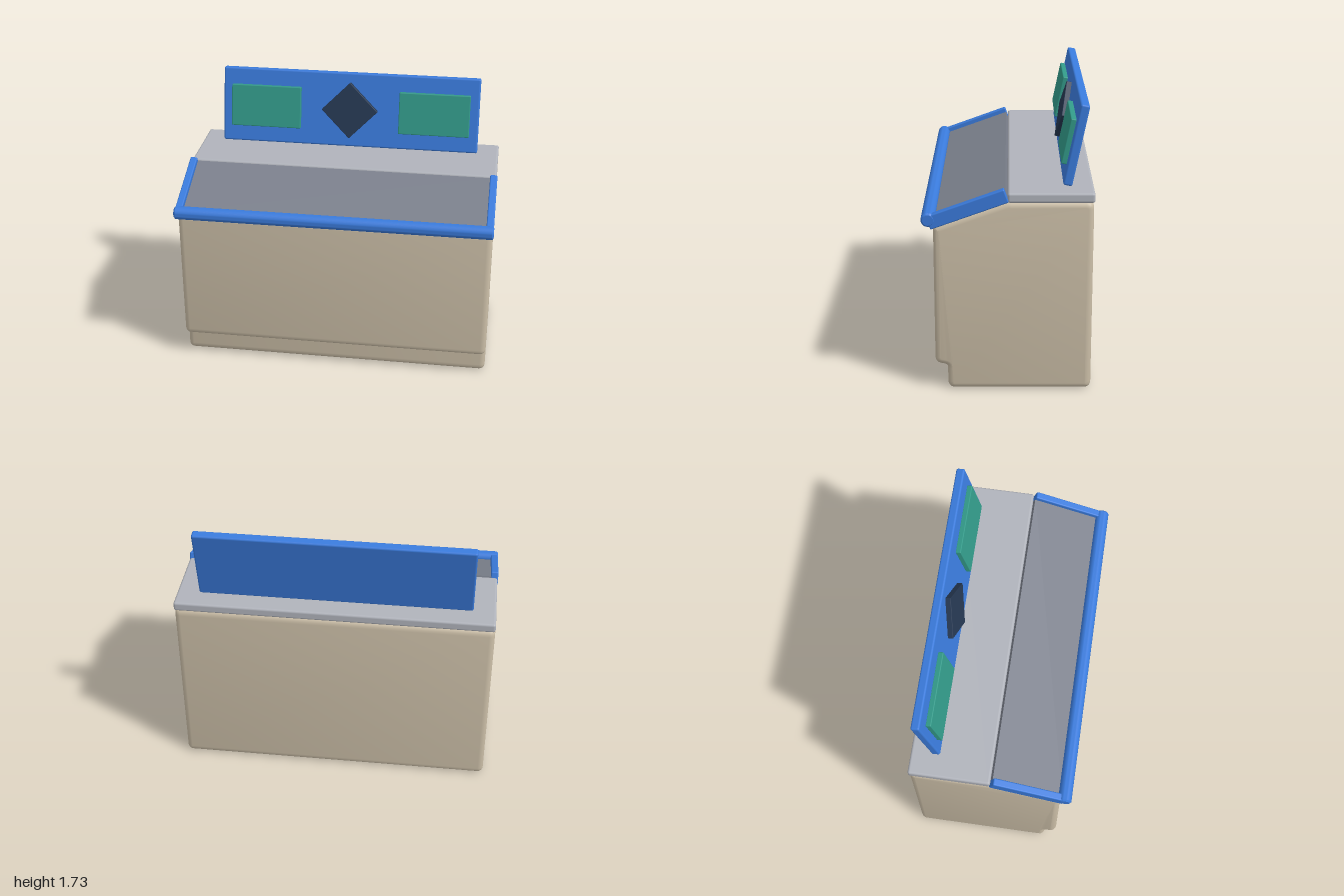
import * as THREE from 'three';
import { RoundedBoxGeometry } from 'three/addons/geometries/RoundedBoxGeometry.js';
import { toCreasedNormals } from 'three/addons/utils/BufferGeometryUtils.js';

const mat = (name, color) => {
  const m = new THREE.MeshStandardMaterial({ color });
  m.name = name;
  return m;
};

// Polygon with rounded corners; each point is [x, y, radius]
function roundedShape(points) {
  const shape = new THREE.Shape();
  const n = points.length;
  points.forEach(([x, y, r], i) => {
    const p = new THREE.Vector2(x, y);
    const toward = ([qx, qy]) => new THREE.Vector2(qx - x, qy - y).setLength(r).add(p);
    const a = toward(points[(i + n - 1) % n]);
    const b = toward(points[(i + 1) % n]);
    if (i === 0) shape.moveTo(a.x, a.y);
    else shape.lineTo(a.x, a.y);
    shape.quadraticCurveTo(x, y, b.x, b.y);
  });
  shape.closePath();
  return shape;
}

export function createModel() {
  const model = new THREE.Group();
  const beige = mat('beige cabinet', 0xcbbea7);
  const blue = mat('blue trim', 0x3a7bdc);
  const lightGrey = mat('light grey counter', 0xb0b3bb);
  const darkGrey = mat('dark grey panel', 0x7b808c);
  const green = mat('green plate', 0x329a89);
  const navy = mat('navy diamond', 0x263852);

  const add = (parent, name, geometry, material, x = 0, y = 0, z = 0) => {
    const mesh = new THREE.Mesh(geometry, material);
    mesh.name = name;
    mesh.position.set(x, y, z);
    parent.add(mesh);
    return mesh;
  };
  const box = (w, h, d, r) => new RoundedBoxGeometry(w, h, d, 3, r);

  // Cabinet: side profile (z, y) with toe kick and sloped front top
  const bevel = 0.035;
  const width = 1.986;
  const profile = roundedShape([
    [-0.502, 0.003, 0.045], [0.36, 0.003, 0.045], [0.36, 0.155, 0.02],
    [0.435, 0.17, 0.035], [0.435, 1.035, 0.02], [0, 1.19, 0.02], [-0.502, 1.19, 0.045],
  ]);
  const cabinet = new THREE.ExtrudeGeometry(profile, {
    depth: width - 2 * bevel, curveSegments: 5,
    bevelSize: bevel, bevelThickness: bevel, bevelOffset: -bevel, bevelSegments: 4,
  });
  cabinet.translate(0, 0, -width / 2 + bevel);
  cabinet.rotateY(-Math.PI / 2);
  add(model, 'cabinet', toCreasedNormals(cabinet, 0.6), beige);

  // Flat counter at the rear
  add(model, 'counter', box(1.986, 0.06, 0.507, 0.015), lightGrey, 0, 1.215, -0.2535);

  // Sloped front: panel with raised side rails
  const slope = new THREE.Group();
  slope.name = 'slopedFront';
  slope.position.set(0, 1.147, 0.235);
  slope.rotation.x = THREE.MathUtils.degToRad(20);
  model.add(slope);
  add(slope, 'slopedPanel', new THREE.BoxGeometry(1.93, 0.055, 0.46), darkGrey, 0, -0.016, -0.01);
  for (const side of [-1, 1])
    add(slope, side > 0 ? 'leftRail' : 'rightRail', box(0.046, 0.085, 0.485, 0.008), blue, side * 0.975, 0, 0);

  // Round bar along the front edge, with eased ends
  const barProfile = [[0, -1], [0.032, -1], [0.042, -0.99], [0.042, 0.99], [0.032, 1], [0, 1]]
    .map(([r, y]) => new THREE.Vector2(r, y));
  const bar = new THREE.LatheGeometry(barProfile, 32);
  bar.rotateZ(Math.PI / 2);
  add(model, 'frontBar', toCreasedNormals(bar, 0.6), blue, 0, 1.083, 0.463);

  // Sign board leaning back, with two plates and a diamond
  const sign = new THREE.Group();
  sign.name = 'sign';
  sign.position.set(0, 1.489, -0.4);
  sign.rotation.x = THREE.MathUtils.degToRad(-11.5);
  model.add(sign);
  add(sign, 'signBoard', box(1.706, 0.494, 0.055, 0.012), blue);
  for (const side of [-1, 1])
    add(sign, side > 0 ? 'leftPlate' : 'rightPlate', box(0.466, 0.277, 0.036, 0.006), green, side * 0.56, 0, 0.042);
  const diamond = add(sign, 'diamond', box(0.263, 0.263, 0.038, 0.004), navy, 0, 0, 0.043);
  diamond.rotation.z = Math.PI / 4;

  return model;
}
